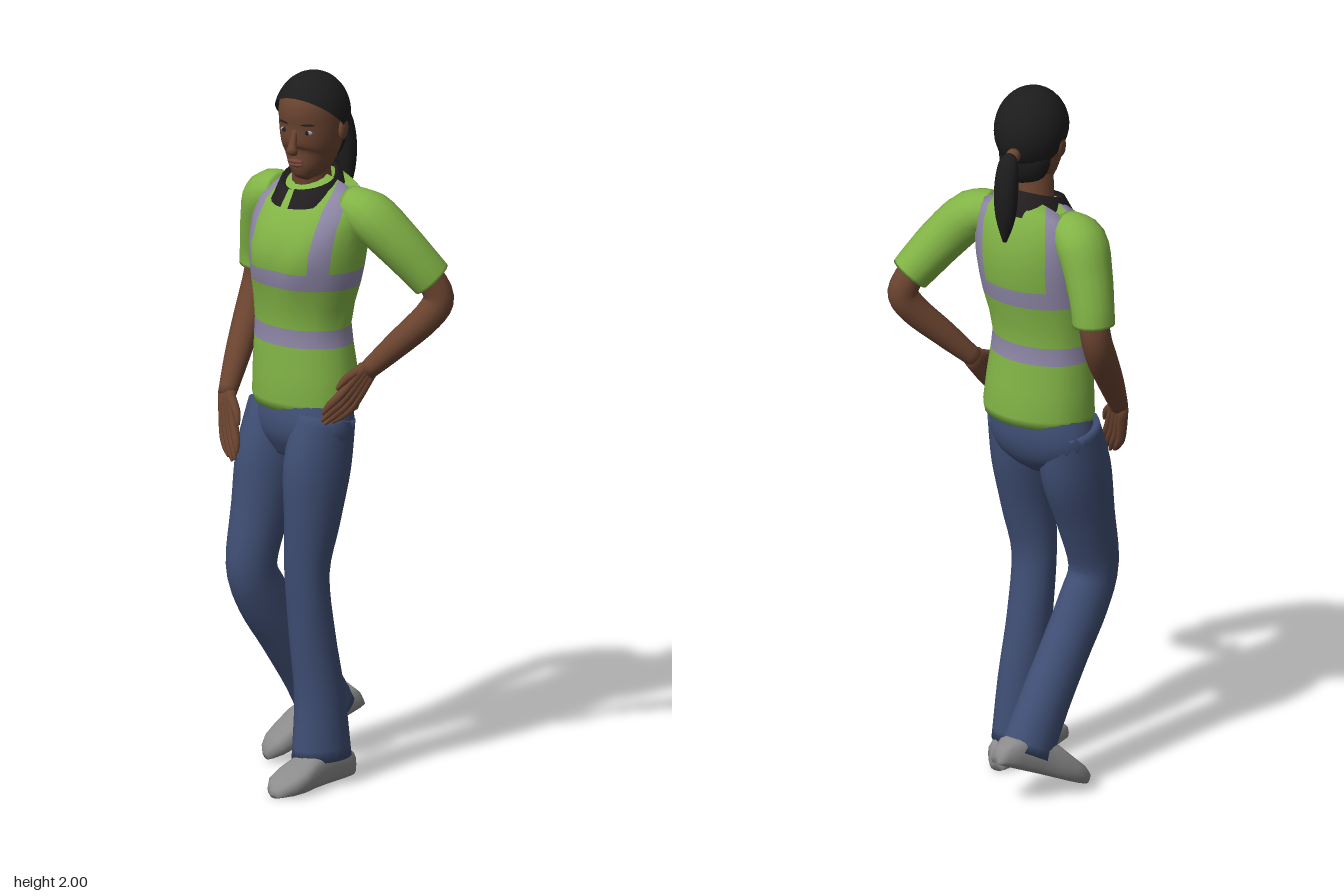
import * as THREE from 'three';

const mat = (name, hex) => {
  const m = new THREE.MeshStandardMaterial({ color: hex });
  m.name = name;
  return m;
};

// Closed skin through rings of points, capped at both ends and facing outwards
function loft(rings, pick) {
  const n = rings[0].length, pos = [], buckets = [[], []];
  rings.forEach((r) => r.forEach((p) => pos.push(p.x, p.y, p.z)));
  const tris = [];
  for (let i = 0; i < rings.length - 1; i++) {
    for (let j = 0; j < n; j++) {
      const a = i * n + j, b = i * n + (j + 1) % n, c = a + n, d = b + n;
      const k = pick ? pick(i, j) : 0;
      tris.push([a, b, c, k], [b, d, c, k]);
    }
  }
  [0, rings.length - 1].forEach((i) => {
    const c = new THREE.Vector3();
    rings[i].forEach((p) => c.addScaledVector(p, 1 / n));
    const id = pos.length / 3;
    pos.push(c.x, c.y, c.z);
    for (let j = 0; j < n; j++) {
      const a = i * n + j, b = i * n + (j + 1) % n;
      tris.push(i ? [a, b, id, 0] : [b, a, id, 0]);
    }
  });
  const v = (i) => new THREE.Vector3(pos[i * 3], pos[i * 3 + 1], pos[i * 3 + 2]);
  let volume = 0;
  tris.forEach(([a, b, c]) => { volume += v(a).dot(v(b).cross(v(c))); });
  tris.forEach(([a, b, c, k]) => buckets[k].push(...(volume > 0 ? [a, b, c] : [a, c, b])));
  const g = new THREE.BufferGeometry();
  g.setAttribute('position', new THREE.Float32BufferAttribute(pos, 3));
  g.setIndex([...buckets[0], ...buckets[1]]);
  if (pick) {
    g.addGroup(0, buckets[0].length, 0);
    g.addGroup(buckets[0].length, buckets[1].length, 1);
  }
  g.computeVertexNormals();
  return g;
}

// Smooth limb through keys [x, y, z, radius, depthRadius]
function sweep(keys, sides = 16, steps = 4) {
  const ks = keys.map((k) => (k.length < 5 ? [...k, k[3]] : k)), path = [];
  const last = ks.length - 1;
  for (let s = 0; s <= last * steps; s++) {
    const i = Math.min(Math.floor(s / steps), last - 1), t = s / steps - i;
    const [p0, p1, p2, p3] = [ks[Math.max(i - 1, 0)], ks[i], ks[i + 1], ks[Math.min(i + 2, last)]];
    path.push(p1.map((b, q) => b + 0.5 * t * (p2[q] - p0[q] + t * (2 * p0[q] - 5 * b + 4 * p2[q] - p3[q]
      + t * (3 * (b - p2[q]) + p3[q] - p0[q])))));
  }
  const at = (i) => new THREE.Vector3(...path[Math.min(Math.max(i, 0), path.length - 1)].slice(0, 3));
  return loft(path.map((p, i) => {
    const t = at(i + 1).sub(at(i - 1)).normalize();
    const side = t.clone().cross(new THREE.Vector3(0, 0, 1)).normalize(), fwd = side.clone().cross(t);
    return Array.from({ length: sides }, (_, j) => {
      const a = j / sides * Math.PI * 2;
      return at(i).addScaledVector(side, Math.cos(a) * p[3]).addScaledVector(fwd, Math.sin(a) * p[4]);
    });
  }));
}

export function createModel() {
  const model = new THREE.Group();
  const skin = mat('skin', 0x6b4430), hair = mat('hair', 0x1c1c1c), green = mat('shirtGreen', 0x82b446);
  const band = mat('reflectiveBand', 0x8f88a8), denim = mat('trouserBlue', 0x3f4e74), grey = mat('shoeGrey', 0x8c8c8c);
  const black = mat('collarBlack', 0x221d1f), white = mat('eyeWhite', 0x9a9aa2), lip = mat('lips', 0x744238);
  black.side = THREE.DoubleSide;
  const add = (name, geo, m, parent = model) => {
    const mesh = new THREE.Mesh(geo, m);
    mesh.name = name;
    parent.add(mesh);
    return mesh;
  };
  const blob = (name, m, parent, p, s) => {
    const b = add(name, new THREE.SphereGeometry(1, 16, 12), m, parent);
    b.position.set(...p);
    b.scale.set(...s);
    return b;
  };

  // Shirt body: rows [y, centre x, centre z, half width, half depth], turned towards its left
  const rows = [
    [1.055, -.025, .028, .158, .116], [1.08, -.025, .028, .163, .122], [1.16, -.026, .032, .157, .117],
    [1.24, -.029, .035, .149, .11], [1.29, -.03, .036, .145, .107], [1.35, -.025, .036, .151, .115],
    [1.41, -.018, .035, .162, .128], [1.46, -.014, .034, .168, .137], [1.52, -.012, .03, .173, .141],
    [1.58, -.012, .023, .175, .13], [1.64, -.012, .011, .172, .106], [1.69, -.012, -.004, .16, .066],
    [1.715, -.012, -.012, .14, .03]];
  const quarter = [0, .3, .592, .78, .964, 1.17, 1.37];
  const angles = [0, 1, 2, 3].flatMap((q) => (q % 2
    ? [Math.PI / 2, ...quarter.slice(1).reverse().map((a) => Math.PI - a)].map((a) => a + (q - 1) * Math.PI / 2)
    : quarter.map((a) => a + q * Math.PI / 2)));
  const yaw = .24;
  const torso = rows.map(([y, cx, cz, a, b]) => angles.map((t) => {
    const c = Math.cos(t), s = Math.sin(t);
    const bust = s > 0 ? .018 * Math.exp(-(((y - 1.49) / .06) ** 2) - ((Math.abs(c) - .42) / .3) ** 2) : 0;
    const drop = y > 1.6 ? .05 * c * c * Math.min((y - 1.6) / .09, 1) : 0;
    const x = a * c, z = b * s + bust;
    return new THREE.Vector3(cx + x * Math.cos(yaw) + z * Math.sin(yaw), y - drop, cz - x * Math.sin(yaw) + z * Math.cos(yaw));
  }));
  const isBand = (i, j) => {
    const next = j + 1 < angles.length ? angles[j + 1] : Math.PI * 2;
    const c = Math.abs(Math.cos((angles[j] + next) / 2));
    return i === 3 || i === 6 || (i > 6 && c > .57 && c < .83) ? 1 : 0;
  };
  add('shirtBody', loft(torso, isBand), [green, band]);

  // Sleeves and arms
  add('rightSleeve', sweep([[-.12, 1.625, .03, .055], [-.185, 1.605, .03, .068, .075], [-.225, 1.52, .02, .063, .068],
    [-.25, 1.44, .01, .059, .06], [-.257, 1.39, .008, .058, .058]]), green);
  add('leftSleeve', sweep([[.09, 1.63, -.02, .055], [.155, 1.61, -.05, .066, .072], [.21, 1.54, -.1, .065, .067],
    [.25, 1.47, -.15, .06, .062], [.268, 1.435, -.175, .056, .06]]), green);
  add('rightArm', sweep([[-.25, 1.43, .01, .04], [-.262, 1.35, .012, .042], [-.248, 1.27, .05, .042],
    [-.203, 1.16, .13, .035], [-.17, 1.07, .19, .025]]), skin);
  add('leftArm', sweep([[.262, 1.45, -.165, .04], [.28, 1.385, -.19, .042], [.265, 1.33, -.165, .042],
    [.215, 1.25, -.095, .036], [.165, 1.175, -.03, .026]]), skin);

  // Hands: palm pad, four fingers and a thumb
  const hand = (name, wrist, knuckle, tip, spread) => {
    const g = new THREE.Group();
    g.name = name;
    model.add(g);
    const [w, k, t] = [wrist, knuckle, tip].map((p) => new THREE.Vector3(...p));
    const s = new THREE.Vector3(...spread).normalize();
    const key = (p, off, r) => [...p.clone().addScaledVector(s, off).toArray(), r];
    for (let i = 0; i < 4; i++) {
      const o = (i - 1.5) * .017, end = k.clone().lerp(t, i === 0 || i === 3 ? .82 : 1);
      add('finger', sweep([key(w, o * .6, .016), key(k, o, .013), key(k.clone().lerp(end, .6), o, .011),
        key(end, o * .8, .004)], 8, 3), skin, g);
    }
    add('thumb', sweep([key(w, .01, .014), key(w.clone().lerp(k, .6), .04, .012), key(k, .046, .005)], 8, 3), skin, g);
  };
  hand('rightHand', [-.172, 1.075, .188], [-.137, .985, .208], [-.09, .91, .228], [.9, .43, 0]);
  hand('leftHand', [.165, 1.18, -.035], [.168, 1.11, .035], [.135, 1.045, .095], [-.1, .65, .7]);

  // Trousers
  add('hips', sweep([[-.025, 1.09, .03, .148, .105], [-.027, 1.02, .036, .172, .114], [-.028, .96, .045, .155, .1],
    [-.028, .91, .055, .07, .06]], 24), denim);
  add('leftTrouserLeg', sweep([[.065, 1.04, .035, .075, .09], [.066, .9, .062, .079, .1], [.065, .75, .078, .071, .08],
    [.055, .6, .088, .064, .06], [.052, .42, .068, .062, .064], [.056, .25, .046, .064, .072], [.06, .075, .042, .07, .088]], 20), denim);
  add('rightTrouserLeg', sweep([[-.12, 1.04, .045, .08, .09], [-.12, .9, .075, .083, .106], [-.117, .75, .115, .073, .086],
    [-.112, .6, .15, .064, .073], [-.114, .5, .11, .063, .077], [-.12, .38, .03, .063, .074], [-.13, .25, -.06, .064, .076],
    [-.135, .13, -.13, .068, .082]], 20), denim);

  // Shoes: sections [z, half width, height]
  const sections = [[-.155, .022, .045], [-.14, .037, .075], [-.1, .044, .095], [-.03, .046, .1], [.03, .053, .088],
    [.08, .059, .068], [.12, .052, .053], [.145, .034, .038], [.157, .015, .02]];
  const bulge = (v) => Math.sign(v) * Math.abs(v) ** .7;
  const shoeGeo = loft(sections.map(([z, w, h]) => Array.from({ length: 16 }, (_, j) => {
    const a = j / 16 * Math.PI * 2;
    return new THREE.Vector3(w * bulge(Math.cos(a)), h * .5 * (1 + bulge(Math.sin(a))), z);
  })));
  [['leftShoe', [.078, .004, .088], 0, .2], ['rightShoe', [-.155, .07, -.1], .4, -.22]].forEach(([name, p, pitch, turn]) => {
    const s = add(name, shoeGeo, grey);
    s.position.set(...p);
    s.rotation.set(pitch, turn, 0, 'YXZ');
  });

  // Neck and open collar
  add('neck', sweep([[-.02, 1.62, .005, .06], [-.014, 1.71, .02, .053, .055], [0, 1.8, .03, .052, .055]]), skin);
  const collarPos = [], collarIdx = [], N = 28;
  for (let i = 0; i <= N; i++) {
    const a = .1 + i / N * (Math.PI * 2 - .2), f = .5 + .5 * Math.cos(a), tip = Math.max(0, Math.cos(a)) ** 2;
    [[.058 + .018 * f, 1.725 - .055 * f], [.072 + .018 * f, 1.735 - .055 * f], [.1 + .025 * tip, 1.668 - .035 * f]].forEach(([r, y]) => {
      collarPos.push(-.012 + r * Math.sin(a + yaw), y, .018 + r * Math.cos(a + yaw));
    });
    for (let k = 0; k < 2 && i < N; k++) {
      const p = i * 3 + k;
      collarIdx.push(p, p + 1, p + 3, p + 1, p + 4, p + 3);
    }
  }
  const collar = new THREE.BufferGeometry();
  collar.setAttribute('position', new THREE.Float32BufferAttribute(collarPos, 3));
  collar.setIndex(collarIdx);
  collar.computeVertexNormals();
  add('collar', collar, black);

  // Head, turned a little further than the body
  const head = new THREE.Group();
  head.name = 'head';
  head.position.set(.01, 0, .035);
  head.rotation.y = .38;
  model.add(head);
  add('face', sweep([[0, 1.712, .055, .018, .02], [0, 1.735, .042, .044, .05], [0, 1.77, .018, .068, .077],
    [0, 1.81, .006, .081, .092], [0, 1.86, 0, .088, .098], [0, 1.91, 0, .087, .102], [0, 1.95, 0, .074, .088],
    [0, 1.98, 0, .04, .05]], 24), skin, head);
  const cap = new THREE.SphereGeometry(1, 32, 20, 0, Math.PI * 2, 0, Math.PI * .54);
  cap.rotateX(-.7);
  cap.scale(.101, .119, .115);
  cap.translate(0, 1.881, 0);
  hair.side = THREE.DoubleSide;
  add('hairCap', cap, hair, head);
  blob('napeHair', hair, head, [0, 1.82, -.045], [.075, .085, .05]);
  add('nose', sweep([[0, 1.855, .092, .008], [0, 1.82, .104, .011, .01], [0, 1.802, .108, .016, .013], [0, 1.792, .098, .012, .008]], 10), skin, head);
  blob('upperLip', lip, head, [0, 1.768, .09, ], [.025, .006, .01]);
  blob('lowerLip', lip, head, [0, 1.758, .088], [.022, .007, .01]);
  [-1, 1].forEach((s) => {
    blob('eye', white, head, [s * .036, 1.852, .084], [.014, .007, .007]);
    blob('iris', black, head, [s * .036, 1.852, .089], [.006, .006, .004]);
    blob('eyebrow', hair, head, [s * .037, 1.874, .088], [.02, .003, .005]).rotation.y = s * .4;
    blob('ear', skin, head, [s * .092, 1.85, -.01], [.01, .032, .02]).rotation.x = -.15;
  });

  // Ponytail and its tie
  blob('hairTie', skin, model, [-.043, 1.852, -.088], [.02, .02, .02]);
  add('ponytail', sweep([[-.043, 1.855, -.09, .012], [-.047, 1.835, -.11, .03, .024], [-.05, 1.76, -.122, .036, .03],
    [-.05, 1.68, -.124, .029, .024], [-.045, 1.61, -.122, .006]]), hair);
  return model;
}
